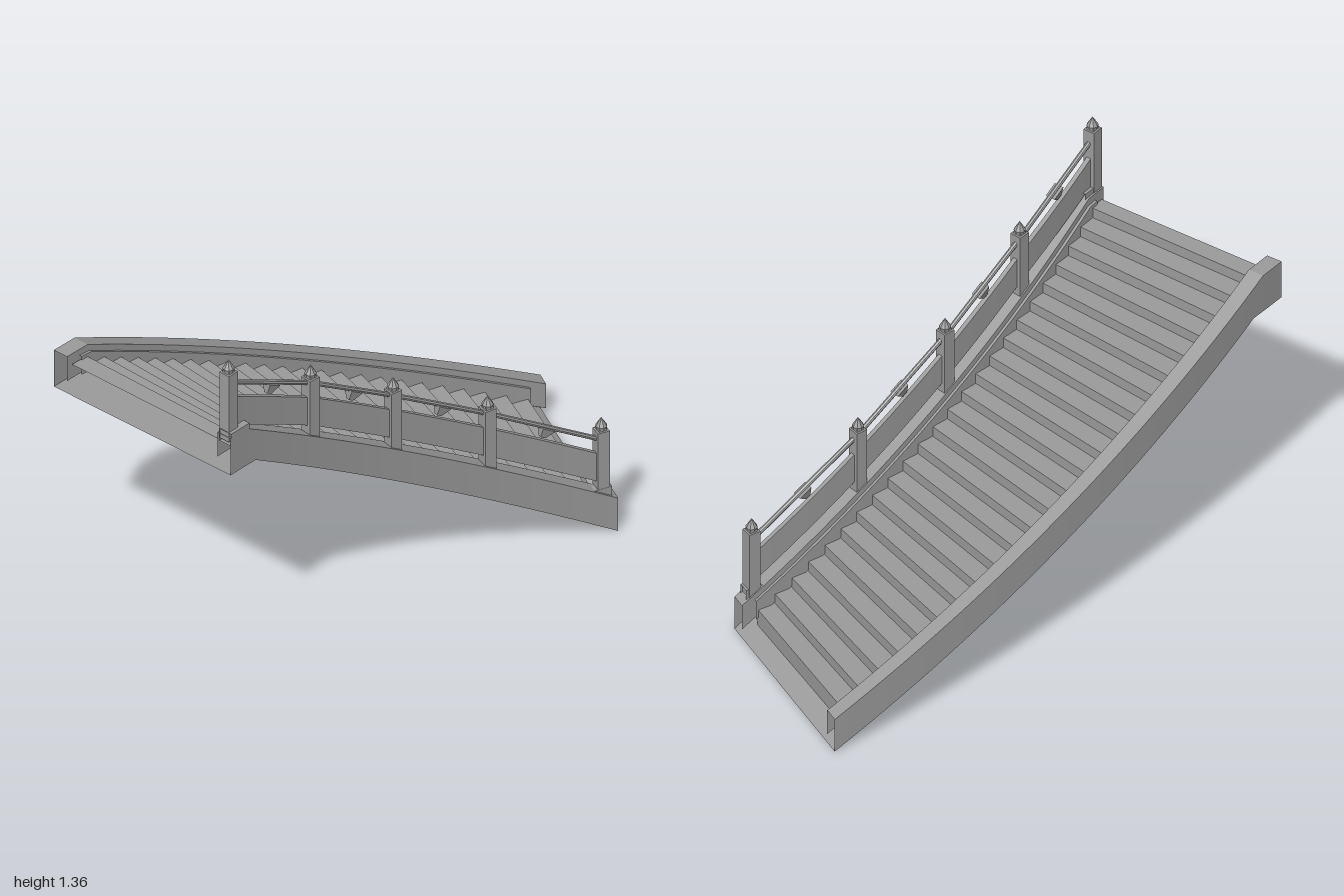
import * as THREE from 'three';

const mat = new THREE.MeshStandardMaterial({ color: 0x9b9b9b, flatShading: true, side: THREE.DoubleSide });

// Plan position: t runs from the foot (0) to the head (1), w from the outer side (0) to the inner side (1)
function plan(t, w, y) {
  const u = 2 * t - 1;
  const outer = new THREE.Vector3(-0.438 - 0.061 * u + 0.097 * u * u, y, u);
  const inner = new THREE.Vector3(0.327 - 0.035 * u + 0.08 * u * u, y, 0.0525 + 0.8075 * u);
  return outer.lerp(inner, w);
}
const under = t => 0.91 * Math.min(t / 0.925, 1);
const wallTop = t => 0.135 + 0.925 * Math.min(t / 0.95, 1);
const skirtFoot = t => Math.max(wallTop(t) - 0.1, under(t));

function add(parent, name, geometry) {
  const mesh = new THREE.Mesh(geometry, mat);
  mesh.name = name;
  parent.add(mesh);
  return mesh;
}

// Joins equal rows of points into a skin
function skin(rows) {
  const m = rows[0].length, index = [];
  for (let i = 0; i + 1 < rows.length; i++) {
    for (let k = 0; k + 1 < m; k++) {
      const a = i * m + k;
      index.push(a, a + 1, a + m + 1, a, a + m + 1, a + m);
    }
  }
  const g = new THREE.BufferGeometry().setFromPoints(rows.flat());
  g.setIndex(index);
  g.computeVertexNormals();
  return g;
}

// Sweeps a profile of [w, height(t)] corners along the curve of the stair, open at both ends
function sweep(profile, t0 = 0, t1 = 1, n = 40) {
  const rows = [];
  for (let i = 0; i <= n; i++) {
    const t = t0 + (t1 - t0) * i / n;
    rows.push(profile.map(([w, h]) => plan(t, w, h(t))));
  }
  return skin(rows);
}
const bar = (w0, w1, low, high) => [[w0, low], [w1, low], [w1, high], [w0, high], [w0, low]];

// Thin folded sheet of risers and treads
function stepSheet() {
  const rows = [];
  const line = (t, y) => rows.push([plan(t, 0.08, y), plan(t, 0.92, y)]);
  for (let i = 0; i < 24; i++) {
    const t = 0.035 + 0.04 * i, y = 0.1 + 0.04 * i;
    line(t, i ? y - 0.04 : under(t));
    line(t, y);
  }
  line(0.99, 1.02);
  return skin(rows);
}

function post(base) {
  const g = new THREE.Group();
  g.name = 'post';
  const part = (name, geometry, y) => { add(g, name, geometry).position.y = y; };
  part('shaft', new THREE.BoxGeometry(0.044, 0.27, 0.044), 0.097);
  part('neck', new THREE.BoxGeometry(0.03, 0.01, 0.03), 0.235);
  part('cap', new THREE.CylinderGeometry(0.021, 0.018, 0.01, 8), 0.243);
  part('capTip', new THREE.ConeGeometry(0.021, 0.034, 8), 0.265);
  g.position.copy(base);
  return g;
}

export function createModel() {
  const model = new THREE.Group();
  model.name = 'curvedStaircase';

  // Hollow side walls, underside and steps
  add(model, 'outerWall', sweep([[0, under], [0, wallTop], [0.075, wallTop], [0.075, skirtFoot]]));
  add(model, 'innerWall', sweep([[1, under], [1, wallTop], [0.925, wallTop], [0.925, skirtFoot]]));
  add(model, 'underside', sweep([[0, under], [1, under]]));
  add(model, 'steps', stepSheet());

  // Ledge strips along the inside of both walls
  const ledge = t => wallTop(t) - 0.025;
  for (const [edge, wall] of [[0.088, 0.075], [0.912, 0.925]]) {
    add(model, 'ledge', sweep([[wall, ledge], [edge, ledge], [edge, skirtFoot]], 0.03, 0.97));
  }

  // End blocks under the first and last posts
  add(model, 'headBlock', sweep(bar(0.935, 1.003, t => wallTop(t) - 0.03, () => 1.08), 0.945, 1, 4));
  add(model, 'footBlock', sweep(bar(0.935, 0.99, t => wallTop(t) - 0.01, () => 0.185), 0.012, 0.056, 2));

  // Railing along the inner wall
  const W = 0.96;
  const stops = [0.031, 0.294, 0.529, 0.749, 0.985];
  stops.forEach((t, i) => {
    const p = post(plan(t, W, wallTop(t) + (i % 4 ? 0 : 0.018)));
    const d = plan(t + 0.01, W, 0).sub(plan(t - 0.01, W, 0));
    p.rotation.y = Math.atan2(d.x, d.z);
    model.add(p);
  });

  for (let i = 0; i < 4; i++) {
    const t0 = stops[i], t1 = stops[i + 1];
    const y0 = wallTop(t0), y1 = wallTop(t1);
    const rise = h => t => y0 + (y1 - y0) * (t - t0) / (t1 - t0) + h;
    add(model, 'panel', sweep(bar(W - 0.011, W + 0.011, rise(0.035), rise(0.15)), t0, t1, 6));

    const a = plan(t0, W, y0 + 0.208), b = plan(t1, W, y1 + 0.208);
    add(model, 'handrail', new THREE.TubeGeometry(new THREE.LineCurve3(a, b), 1, 0.009, 8));

    // Flared bracket between panel and handrail
    const flare = new THREE.CylinderGeometry(0.038, 0.015, 0.036, 4);
    flare.rotateY(Math.PI / 4).scale(0.7, 1, 1);
    const bracket = add(model, 'bracket', flare);
    bracket.position.copy(a).lerp(b, 0.5).y -= 0.024;
    bracket.lookAt(bracket.position.clone().add(b).sub(a));
  }
  return model;
}
